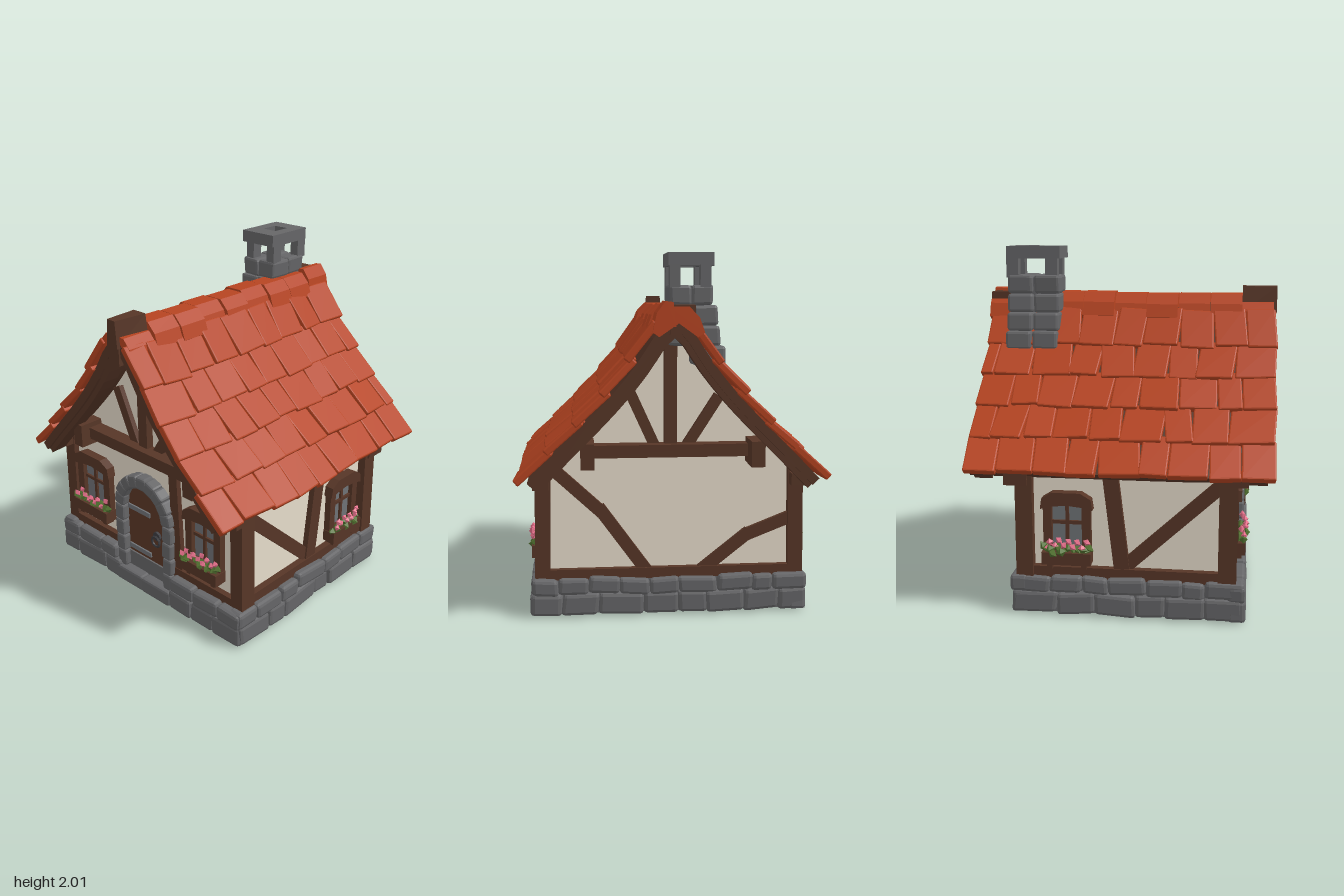
import * as THREE from 'three';
import { mergeGeometries } from 'three/addons/utils/BufferGeometryUtils.js';
import { RoundedBoxGeometry } from 'three/addons/geometries/RoundedBoxGeometry.js';

const paint = (name, color) => {
  const m = new THREE.MeshStandardMaterial({ color, flatShading: true });
  m.name = name;
  return m;
};
const M = {
  tile: paint('roof tile', 0xb64421), wood: paint('timber', 0x573627), door: paint('door wood', 0x5b3827),
  stone: paint('stone', 0x666668), plaster: paint('plaster', 0xeee4d2), glass: paint('window glass', 0x707377),
  iron: paint('iron', 0x3c3c40), leaf: paint('leaf', 0x527230), flower: paint('flower', 0xee7490),
};

let seed = 7;
const rnd = (a = -1, b = 1) => {
  seed = (seed * 16807) % 2147483647;
  return a + (b - a) * (seed / 2147483647);
};

function add(parent, name, mat, geos) {
  const list = (Array.isArray(geos) ? geos : [geos]).map(g => (g.index ? g.toNonIndexed() : g));
  const mesh = new THREE.Mesh(list.length > 1 ? mergeGeometries(list) : list[0], mat);
  mesh.name = name;
  parent.add(mesh);
  return mesh;
}
const box = (x0, x1, y0, y1, z0, z1) =>
  new THREE.BoxGeometry(x1 - x0, y1 - y0, z1 - z0).translate((x0 + x1) / 2, (y0 + y1) / 2, (z0 + z1) / 2);

// Chamfered block, slightly sheared so no two look alike
function block(w, h, d, r = 0.015, skew = 0.06) {
  const g = new RoundedBoxGeometry(w, h, d, 1, r);
  return g.applyMatrix4(new THREE.Matrix4().makeShear(rnd() * skew * 0.5, 0, rnd() * skew, 0, rnd() * skew, 0));
}
// Straight timber between two points of a wall face
function beam(x1, y1, x2, y2, w, z0, z1) {
  const len = Math.hypot(x2 - x1, y2 - y1);
  return new THREE.BoxGeometry(w, len, z1 - z0).rotateZ(Math.atan2(x1 - x2, y2 - y1))
    .translate((x1 + x2) / 2, (y1 + y2) / 2, (z0 + z1) / 2);
}
function extrude(pts, z0, z1, steps = 1) {
  const shape = new THREE.Shape(pts.map(p => new THREE.Vector2(p[0], p[1])));
  return new THREE.ExtrudeGeometry(shape, { depth: z1 - z0, steps, bevelEnabled: false }).translate(0, 0, z0);
}

// Concave roof slope from ridge to eave
const slope = new THREE.SplineCurve([[0, 1.68], [0.1, 1.58], [0.2, 1.43], [0.32, 1.28], [0.46, 1.13], [0.63, 0.96], [0.775, 0.81]]
  .map(p => new THREE.Vector2(...p)));
function slopePoints(d) {
  const pts = [[0, 1.68 - d * 1.5]];
  for (let i = 1; i <= 14; i++) {
    const p = slope.getPointAt(i / 14), t = slope.getTangentAt(i / 14);
    const x = p.x + t.y * d, y = p.y - t.x * d;
    if (x > 0.01) pts.push([x, y]);
  }
  return pts;
}
const mirrored = pts => [...pts.slice(1).reverse().map(([x, y]) => [-x, y]), ...pts];
const roofBand = (d, z0, z1, steps) =>
  narrow(extrude([...mirrored(slopePoints(0)), ...mirrored(slopePoints(d)).reverse()], z0, z1, steps));
// The roof pinches in a little towards the front
function narrow(g) {
  const p = g.attributes.position;
  for (let i = 0; i < p.count; i++) p.setX(i, p.getX(i) * (1 - 0.06 * THREE.MathUtils.smoothstep(p.getZ(i), 0.3, 0.9)));
  return g;
}

function makeRoof() {
  const roof = new THREE.Group();
  roof.name = 'roof';
  add(roof, 'roofDeck', M.wood, roofBand(0.05, -0.82, 0.82, 8));
  add(roof, 'bargeBoards', M.wood, [roofBand(0.08, 0.7, 0.8, 1), roofBand(0.08, -0.8, -0.7, 1)]);
  // Overlapping tile rows
  const tiles = [], rows = 5, start = 0.09, step = (1.005 - start) / rows, total = slope.getLength();
  for (const s of [1, -1]) for (let r = 0; r < rows; r++) {
    const u = start + (r + 0.5) * step, p = slope.getPointAt(u), t = slope.getTangentAt(u);
    const basis = new THREE.Matrix4().makeBasis(new THREE.Vector3(0, 0, -s),
      new THREE.Vector3(-t.y * s, t.x, 0), new THREE.Vector3(t.x * s, t.y, 0));
    const cuts = [-0.84];
    for (let k = 1; k < 9; k++) cuts.push(-0.84 + (k - (r % 2) * 0.45) * 0.19 + rnd() * 0.03);
    cuts.push(0.84);
    for (let k = 0; k < 9; k++) {
      const w = cuts[k + 1] - cuts[k];
      tiles.push(block(w - 0.003, 0.042, step * total * 1.17, 0.008, 0.08)
        .rotateY(rnd() * 0.06).rotateX(-0.09 + rnd() * 0.025).rotateZ(rnd() * 0.03)
        .translate(0, 0.032 + rnd() * 0.005, 0.008 + rnd() * 0.01).applyMatrix4(basis)
        .translate(p.x * s, p.y, (cuts[k] + cuts[k + 1]) / 2));
    }
  }
  add(roof, 'roofTiles', M.tile, tiles.map(narrow));
  // Ridge caps, the front one sitting low around the beam end
  const caps = [extrude([[-0.13, 1.58], [0, 1.64], [0.13, 1.58], [0.115, 1.63], [0.07, 1.68], [-0.07, 1.68], [-0.115, 1.63]], 0.64, 0.82)];
  for (let k = 0; k < 8; k++) {
    const z = 0.64 - k * 0.187;
    caps.push(extrude([[-0.135, 1.595], [-0.1, 1.57], [0, 1.64], [0.1, 1.57], [0.135, 1.595], [0.108, 1.67], [0.055, 1.725], [-0.055, 1.725], [-0.108, 1.67]], z - 0.182, z)
      .rotateZ(rnd() * 0.01).translate(rnd() * 0.008, rnd() * 0.008, 0));
  }
  add(roof, 'ridgeCaps', M.tile, caps);
  add(roof, 'rearRidgeTile', M.tile, extrude([[0, 1.62], [0.12, 1.6], [0.1, 1.69], [0.055, 1.75], [0.015, 1.745]], -0.86, -0.68));
  // Carved ridge beam ends
  const end = box(-0.065, 0.065, 1.62, 1.77, 0.64, 0.84), p = end.attributes.position;
  for (let i = 0; i < p.count; i++) {
    if (p.getZ(i) > 0.8) p.setX(i, p.getX(i) * 0.65);
    if (p.getY(i) > 1.7) p.setX(i, p.getX(i) * 0.7);
  }
  add(roof, 'ridgeBeamEnds', M.wood, [end, box(-0.04, 0.04, 1.52, 1.64, 0.68, 0.83), box(-0.1, 0.03, 1.58, 1.73, -0.85, -0.72)]);
  return roof;
}

function makeBase() {
  const base = new THREE.Group();
  base.name = 'stoneBase';
  add(base, 'baseCore', M.stone, box(-0.74, 0.74, 0, 0.2, -0.55, 0.64));
  const stones = [];
  for (let side = 0; side < 4; side++) {
    const half = side % 2 ? 0.64 : 0.775, out = side % 2 ? 0.73 : 0.6;
    for (let row = 0; row < 2; row++) {
      const n = (side % 2 ? 6 : 8) + row, w = (half * 2) / n, cuts = [-half];
      for (let k = 1; k < n; k++) cuts.push(-half + w * (k + rnd() * 0.22));
      cuts.push(half);
      for (let k = 0; k < n; k++) {
        const x = (cuts[k] + cuts[k + 1]) / 2, h = row ? 0.095 : 0.125;
        if (side === 0 && Math.abs(x + 0.015) < 0.2) continue;
        stones.push(block(cuts[k + 1] - cuts[k], h, 0.1, 0.02, 0.12).rotateZ(rnd() * 0.04)
          .translate(x, row ? 0.166 + rnd() * 0.008 : 0.064, out + rnd() * 0.008)
          .rotateY((side * Math.PI) / 2).translate(0, 0, 0.048));
      }
    }
  }
  add(base, 'baseStones', M.stone, stones);
  add(base, 'doorStep', M.stone, [block(0.24, 0.1, 0.14, 0.015).translate(-0.13, 0.05, 0.632), block(0.24, 0.1, 0.14, 0.015).translate(0.105, 0.05, 0.632)]);
  return base;
}

function makeDoor() {
  const door = new THREE.Group();
  door.name = 'door';
  door.position.x = -0.017;
  const cy = 0.53, R = 0.2, arch = [[-0.17, 0.09], [0.17, 0.09]];
  for (let i = 0; i <= 12; i++) arch.push([0.17 * Math.cos((i * Math.PI) / 12), cy + 0.17 * Math.sin((i * Math.PI) / 12)]);
  add(door, 'doorLeaf', M.door, extrude(arch, 0.6, 0.63));
  const stones = [];
  for (const s of [1, -1]) for (let k = 0; k < 4; k++)
    stones.push(block(0.074, 0.108, 0.12, 0.014).translate(s * (R + rnd() * 0.006), 0.15 + k * 0.107, 0.62));
  for (let k = 0; k < 9; k++) {
    const a = ((k + 0.5) * Math.PI) / 9;
    stones.push(block(0.08, 0.08, 0.12, 0.014).rotateZ(a).translate(R * Math.cos(a), cy + R * Math.sin(a), 0.62));
  }
  add(door, 'archStones', M.stone, stones);
  add(door, 'hinges', M.glass, [box(-0.16, 0.03, 0.5, 0.53, 0.63, 0.64), box(-0.16, 0.03, 0.225, 0.255, 0.63, 0.64)]);
  add(door, 'doorHandle', M.iron, [new THREE.CylinderGeometry(0.03, 0.03, 0.02, 8).rotateX(Math.PI / 2).translate(0.09, 0.4, 0.635),
    new THREE.TorusGeometry(0.032, 0.008, 5, 12).translate(0.09, 0.37, 0.65)]);
  return door;
}

// Window with flower box; faces +z, back at z = 0
function makeWindow(x, y, z, sx) {
  const win = new THREE.Group();
  win.name = 'window';
  win.position.set(x, y, z);
  win.scale.x = sx;
  add(win, 'glass', M.glass, box(-0.11, 0.11, 0.42, 0.68, 0, 0.012));
  add(win, 'windowFrame', M.wood, [
    extrude([[-0.165, 0.65], [-0.1, 0.665], [0, 0.675], [0.1, 0.665], [0.165, 0.65], [0.155, 0.71], [0.09, 0.745], [-0.09, 0.745], [-0.155, 0.71]], 0, 0.055),
    box(-0.15, -0.095, 0.4, 0.67, 0, 0.04), box(0.095, 0.15, 0.4, 0.67, 0, 0.04),
    box(-0.011, 0.011, 0.42, 0.68, 0, 0.025), box(-0.1, 0.1, 0.56, 0.58, 0, 0.025)]);
  add(win, 'flowerBox', M.wood, [box(-0.155, 0.155, 0.34, 0.41, 0, 0.08),
    box(-0.125, -0.09, 0.31, 0.35, 0, 0.06), box(0.09, 0.125, 0.31, 0.35, 0, 0.06)]);
  const leaves = [], blooms = [];
  for (let k = 0; k < 16; k++) leaves.push(new THREE.OctahedronGeometry(0.034).scale(1, 0.75, 0.7).rotateZ(rnd())
    .translate(-0.14 + k * 0.0187, 0.425 + rnd() * 0.022, 0.062 + rnd() * 0.02));
  for (let k = 0; k < 10; k++) blooms.push(new THREE.OctahedronGeometry(0.026).scale(1, 0.8, 0.7).rotateZ(rnd())
    .translate(-0.13 + k * 0.029, 0.462 + (k % 2 ? 0.014 : -0.012) + rnd() * 0.008, 0.07 + rnd() * 0.015));
  add(win, 'leaves', M.leaf, leaves);
  add(win, 'flowers', M.flower, blooms);
  return win;
}

function makeChimney() {
  const c = new THREE.Group();
  c.name = 'chimney';
  c.position.set(-0.09, 0, -0.57);
  add(c, 'chimneyCore', M.stone, box(-0.1, 0.1, 1.62, 1.82, -0.13, 0.13));
  // Courses step inwards going up and follow the roof slope at the bottom
  const stones = [];
  for (let r = 0; r < 4; r++) {
    const y = 1.461 + r * 0.106, left = -0.185 + r * 0.022, mid = (left + 0.11) / 2 + rnd() * 0.025;
    const spans = r === 0 ? [[left, mid]] : [[left, mid], [mid, 0.115]];
    for (const [a, b] of spans) for (const s of [1, -1])
      stones.push(block(b - a, 0.107, 0.15, 0.016, 0.1).translate((a + b) / 2, y, s * 0.077 + rnd() * 0.005));
  }
  add(c, 'chimneyStones', M.stone, stones);
  const posts = [];
  for (const x of [-0.078, 0.083]) for (const z of [-0.125, 0.105]) posts.push(box(x - 0.028, x + 0.028, 1.82, 1.94, z - 0.035, z + 0.035));
  add(c, 'chimneyPosts', M.stone, posts);
  const cap = new THREE.Shape([[-0.122, -0.16], [0.118, -0.16], [0.118, 0.155], [-0.122, 0.155]].map(p => new THREE.Vector2(...p)));
  cap.holes.push(new THREE.Path([[-0.05, -0.05], [-0.05, 0.06], [0.045, 0.06], [0.045, -0.05]].map(p => new THREE.Vector2(...p))));
  add(c, 'chimneyCap', M.stone, new THREE.ExtrudeGeometry(cap, { depth: 0.07, bevelEnabled: false }).rotateX(-Math.PI / 2).translate(0, 1.93, 0));
  return c;
}

export function createModel() {
  const house = new THREE.Group();
  house.name = 'cottage';
  const top = mirrored(slopePoints(0.025).filter(p => p[0] < 0.7));
  add(house, 'walls', M.plaster, extrude([[0.7, 0.15], [-0.7, 0.15], [-0.7, 0.85], ...top, [0.7, 0.85]], -0.53, 0.61));
  house.add(makeBase(), makeRoof(), makeDoor(), makeChimney());

  // Corner posts with brackets, and purlin ends
  const posts = [];
  for (const s of [1, -1]) {
    for (const [z0, z1] of [[0.545, 0.645], [-0.57, -0.475]]) posts.push(beam(s * 0.715, 0.19, s * 0.705, 0.83, 0.085, z0, z1));
    posts.push(box(s * 0.715 - 0.045, s * 0.715 + 0.045, 0.73, 0.8, -0.63, -0.5), box(s * 0.715 - 0.045, s * 0.715 + 0.045, 0.76, 0.82, 0.6, 0.7));
    for (const z of [0.66, -0.64]) posts.push(box(s * 0.46 - 0.037, s * 0.46 + 0.037, 0.86, 1.0, z - 0.1, z + 0.1));
  }
  add(house, 'cornerPosts', M.wood, posts);

  // Gable timbers shared by front and back
  const gable = z => [box(-0.47, 0.47, 0.9, 0.97, z - 0.05, z + 0.09), beam(0, 0.95, 0, 1.6, 0.07, z - 0.02, z + 0.045),
    beam(-0.085, 0.95, -0.23, 1.27, 0.06, z - 0.02, z + 0.03), beam(0.09, 0.95, 0.27, 1.23, 0.06, z - 0.02, z + 0.03)];
  add(house, 'frontTimbers', M.wood, [...gable(0.61), beam(0.25, 0.2, 0.215, 0.92, 0.065, 0.58, 0.64),
    box(-0.7, -0.23, 0.2, 0.26, 0.56, 0.645), box(0.2, 0.7, 0.2, 0.26, 0.56, 0.645)]);
  const back = add(house, 'backTimbers', M.wood, [...gable(0.53), box(-0.7, 0.7, 0.2, 0.26, 0.48, 0.565),
    beam(-0.66, 0.84, -0.38, 0.58, 0.07, 0.5, 0.555), beam(-0.4, 0.61, -0.12, 0.22, 0.07, 0.5, 0.555),
    beam(0.7, 0.54, 0.42, 0.43, 0.07, 0.5, 0.555), beam(0.45, 0.45, 0.16, 0.22, 0.07, 0.5, 0.555)]);
  back.rotation.y = Math.PI;

  // Side timbers and windows, mirrored
  for (const s of [1, -1]) {
    const side = new THREE.Group();
    side.name = s > 0 ? 'leftSide' : 'rightSide';
    side.rotation.y = (s * Math.PI) / 2;
    add(side, 'sideTimbers', M.wood, [box(s > 0 ? -0.6 : -0.52, s > 0 ? 0.52 : 0.6, 0.2, 0.265, 0.66, 0.74),
      beam(s * -0.02, 0.24, s * 0.05, 0.84, 0.085, 0.67, 0.735), beam(s * -0.56, 0.76, s * -0.04, 0.28, 0.075, 0.67, 0.725)]);
    side.add(makeWindow(s * 0.285, -0.05, 0.7, 0.88));
    house.add(side);
  }
  house.add(makeWindow(-0.485, 0, 0.61, 1), makeWindow(0.46, -0.015, 0.61, 0.9));
  return house;
}
